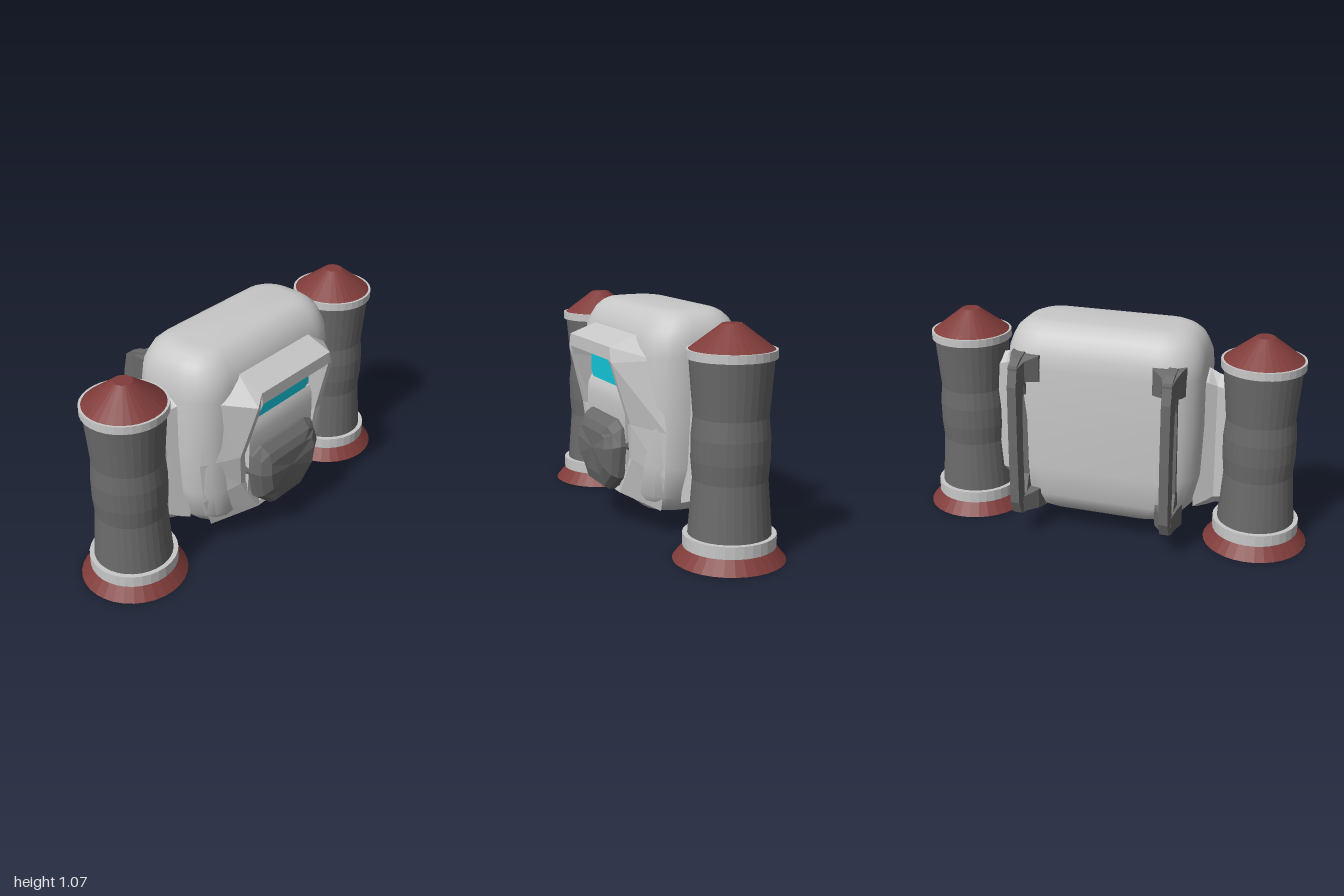
import * as THREE from 'three';
import { toCreasedNormals } from 'three/addons/utils/BufferGeometryUtils.js';

const paint = (name, color) => {
  const m = new THREE.MeshStandardMaterial({ color });
  m.name = name;
  return m;
};

// Skin through equal-length rings, each counter-clockwise seen from the end, with both ends capped
function loft(rings, crease = 0.02) {
  const pos = [];
  const n = rings[0].length;
  const tri = (a, b, c) => pos.push(...a, ...b, ...c);
  const centre = ring => [0, 1, 2].map(k => ring.reduce((s, p) => s + p[k], 0) / n);
  const first = rings[0], last = rings[rings.length - 1];
  const c0 = centre(first), c1 = centre(last);
  for (let j = 0; j < n; j++) {
    const k = (j + 1) % n;
    for (let i = 0; i < rings.length - 1; i++) {
      const r = rings[i], s = rings[i + 1];
      tri(r[j], r[k], s[k]);
      tri(r[j], s[k], s[j]);
    }
    tri(c0, first[k], first[j]);
    tri(c1, last[j], last[k]);
  }
  const geo = new THREE.BufferGeometry();
  geo.setAttribute('position', new THREE.Float32BufferAttribute(pos, 3));
  return toCreasedNormals(geo, crease);
}

// Rounded rectangle in plan at height y
function planRing(y, hx, hz) {
  const r = Math.min(0.17, hz * 0.75), ring = [];
  for (let q = 0; q < 4; q++) {
    const sx = q === 0 || q === 3 ? 1 : -1, sz = q < 2 ? -1 : 1;
    for (let i = 0; i <= 5; i++) {
      const a = (q + i / 5) * Math.PI / 2;
      ring.push([sx * (hx - r) + r * Math.cos(a), y, sz * (hz - r) - r * Math.sin(a)]);
    }
  }
  return ring;
}

// Left half listed top to bottom, mirrored into a full ring seen from the front
const mirrorRing = half => [...[...half].reverse(), ...half.map(([x, y, z]) => [-x, y, z])];

const polygon = (Type, pts) => new Type(pts.map(p => new THREE.Vector2(...p)));

export function createModel() {
  const model = new THREE.Group();
  const shell = paint('light grey shell', 0xc8c8c8);
  const dark = paint('dark grey', 0x6a6a6a);
  const red = paint('dull red', 0x803c3a);
  const cyan = paint('cyan glow', 0x12c8dc);

  const add = (parent, name, geo, mat) => {
    const mesh = new THREE.Mesh(geo, mat);
    mesh.name = name;
    parent.add(mesh);
    return mesh;
  };

  // Main hull: y, half width, half depth
  const hull = [
    [0.11, 0.34, 0.18], [0.13, 0.39, 0.205], [0.2, 0.45, 0.235], [0.35, 0.48, 0.245],
    [0.6, 0.49, 0.245], [0.86, 0.49, 0.25], [0.93, 0.485, 0.243], [0.98, 0.47, 0.225],
    [1.02, 0.45, 0.2], [1.05, 0.415, 0.168], [1.065, 0.38, 0.14], [1.07, 0.34, 0.11],
  ];
  add(model, 'hull', loft(hull.map(h => planRing(...h)), 0.6), shell);

  // Hooded front frame: hull edge, front rim, inner rim, recess floor
  const frame = [
    [[0.25, 0.95, 0.23], [0.41, 0.85, 0.2], [0.46, 0.52, 0.18], [0.44, 0.3, 0.18], [0.38, 0.13, 0.17]],
    [[0.25, 0.9, 0.37], [0.27, 0.83, 0.37], [0.3, 0.54, 0.29], [0.28, 0.37, 0.275], [0.17, 0.18, 0.29]],
    [[0.24, 0.84, 0.372], [0.245, 0.8, 0.36], [0.265, 0.54, 0.287], [0.245, 0.36, 0.272], [0.15, 0.2, 0.285]],
    [[0.225, 0.81, 0.262], [0.23, 0.78, 0.262], [0.25, 0.54, 0.262], [0.23, 0.36, 0.262], [0.14, 0.21, 0.262]],
  ];
  add(model, 'frontFrame', loft(frame.map(mirrorRing)), shell);

  // Glowing slot under the hood
  const slot = polygon(THREE.Shape, [
    [-0.2, 0.685], [0.2, 0.685], [0.225, 0.71], [0.225, 0.79], [0.2, 0.815],
    [-0.2, 0.815], [-0.225, 0.79], [-0.225, 0.71],
  ]);
  const slotGeo = new THREE.ExtrudeGeometry(slot, { depth: 0.008, bevelEnabled: false });
  add(model, 'glowSlot', slotGeo.translate(0, 0, 0.262), cyan);

  // Curved panel between slot and muzzle
  const face = polygon(THREE.Shape, [
    [0.25, 0.3], [0.28, 0.3], [0.288, 0.54], [0.288, 0.61], [0.282, 0.655], [0.268, 0.685], [0.25, 0.69],
  ]);
  const faceGeo = new THREE.ExtrudeGeometry(face, { depth: 0.47, bevelEnabled: false });
  faceGeo.translate(0, 0, -0.235).rotateY(-Math.PI / 2);
  add(model, 'facePanel', toCreasedNormals(faceGeo, 0.6), shell);

  // Faceted muzzle: back edge, shoulder, front face
  const muzzle = [
    [[0.16, 0.54, 0.26], [0.225, 0.51, 0.26], [0.24, 0.42, 0.26], [0.205, 0.26, 0.26], [0.11, 0.18, 0.26]],
    [[0.16, 0.535, 0.3], [0.22, 0.505, 0.3], [0.235, 0.42, 0.31], [0.2, 0.26, 0.31], [0.11, 0.185, 0.32]],
    [[0.15, 0.5, 0.342], [0.2, 0.475, 0.335], [0.215, 0.41, 0.345], [0.185, 0.275, 0.34], [0.1, 0.2, 0.342]],
    [[0.1, 0.46, 0.36], [0.155, 0.45, 0.36], [0.165, 0.4, 0.372], [0.15, 0.31, 0.37], [0.08, 0.25, 0.355]],
  ];
  add(model, 'muzzle', loft(muzzle.map(mirrorRing)), dark);

  // Shoulder strap loop, drawn from the side
  const strap = polygon(THREE.Shape, [
    [0.2, 0.11], [0.31, 0.118], [0.347, 0.135], [0.375, 0.2], [0.375, 0.5], [0.367, 0.8],
    [0.345, 0.9], [0.3, 0.925], [0.24, 0.94], [0.2, 0.9],
  ]);
  strap.holes.push(polygon(THREE.Path, [
    [0.24, 0.3], [0.24, 0.72], [0.272, 0.79], [0.29, 0.71], [0.303, 0.5], [0.303, 0.215], [0.275, 0.22],
  ]));
  const strapGeo = new THREE.ExtrudeGeometry(strap, { depth: 0.045, bevelEnabled: false });
  strapGeo.translate(0, 0, -0.0225).rotateY(Math.PI / 2);

  // Rectangle seen from the back, for the tapering strap anchors
  const backRing = (x, y, hx, hy, z) =>
    [[1, 1], [1, -1], [-1, -1], [-1, 1]].map(([a, b]) => [x + a * hx, y + b * hy, z]);

  // Cross-section of the web that joins hull and tank
  const webRing = (x, y0, y1, hz) => [
    [x, y1, 0], [x, y1 - 0.05, hz], [x, y0 + 0.05, hz],
    [x, y0, 0], [x, y0 + 0.05, -hz], [x, y1 - 0.05, -hz],
  ];
  const webGeo = loft([webRing(0.45, 0.13, 0.89, 0.1), webRing(0.5, 0.15, 0.87, 0.07),
    webRing(0.54, 0.17, 0.85, 0.045), webRing(0.61, 0.18, 0.83, 0.045)]);

  // Tank profiles: radius, height
  const tankParts = [
    ['flare', red, [[0.16, 0.06], [0.16, 0], [0.255, 0], [0.2, 0.066]]],
    ['lowerBand', shell, [[0.17, 0.063], [0.21, 0.063], [0.21, 0.12], [0.18, 0.12]]],
    ['tankBody', dark, [[0.188, 0.115], [0.168, 0.37], [0.176, 0.46], [0.176, 0.56], [0.167, 0.65], [0.188, 0.91]]],
    ['upperBand', shell, [[0.18, 0.903], [0.2, 0.903], [0.2, 0.941], [0.18, 0.941]]],
    ['cap', red, [[0.19, 0.94], [0.045, 1.05], [0, 1.05]]],
  ].map(([name, mat, pts]) => [name,
    toCreasedNormals(new THREE.LatheGeometry(pts.map(p => new THREE.Vector2(...p)), 32), 0.05), mat]);
  const glowGeo = new THREE.CircleGeometry(0.165, 32).rotateX(Math.PI / 2);

  for (const [side, s] of [['left', 1], ['right', -1]]) {
    // Tank with its glowing exhaust
    const tank = new THREE.Group();
    tank.name = side + 'Tank';
    tank.position.set(s * 0.744, 0, 0.008);
    for (const part of tankParts) add(tank, ...part);
    add(tank, 'exhaustGlow', glowGeo, cyan).position.y = 0.05;
    model.add(tank);

    const web = add(model, side + 'Web', webGeo, shell);
    if (s < 0) web.rotation.y = Math.PI;

    // Strap and its anchors
    add(model, side + 'Strap', strapGeo, dark).position.x = s * 0.375;
    add(model, side + 'UpperAnchor', loft([
      backRing(s * 0.345, 0.865, 0.085, 0.07, -0.2), backRing(s * 0.35, 0.865, 0.07, 0.065, -0.255),
      backRing(s * 0.37, 0.86, 0.035, 0.05, -0.3), backRing(s * 0.375, 0.86, 0.023, 0.03, -0.35),
    ]), dark);
    add(model, side + 'LowerAnchor', loft([
      backRing(s * 0.35, 0.175, 0.07, 0.055, -0.19), backRing(s * 0.355, 0.175, 0.055, 0.05, -0.25),
      backRing(s * 0.375, 0.17, 0.023, 0.04, -0.32),
    ]), dark);
  }
  return model;
}
